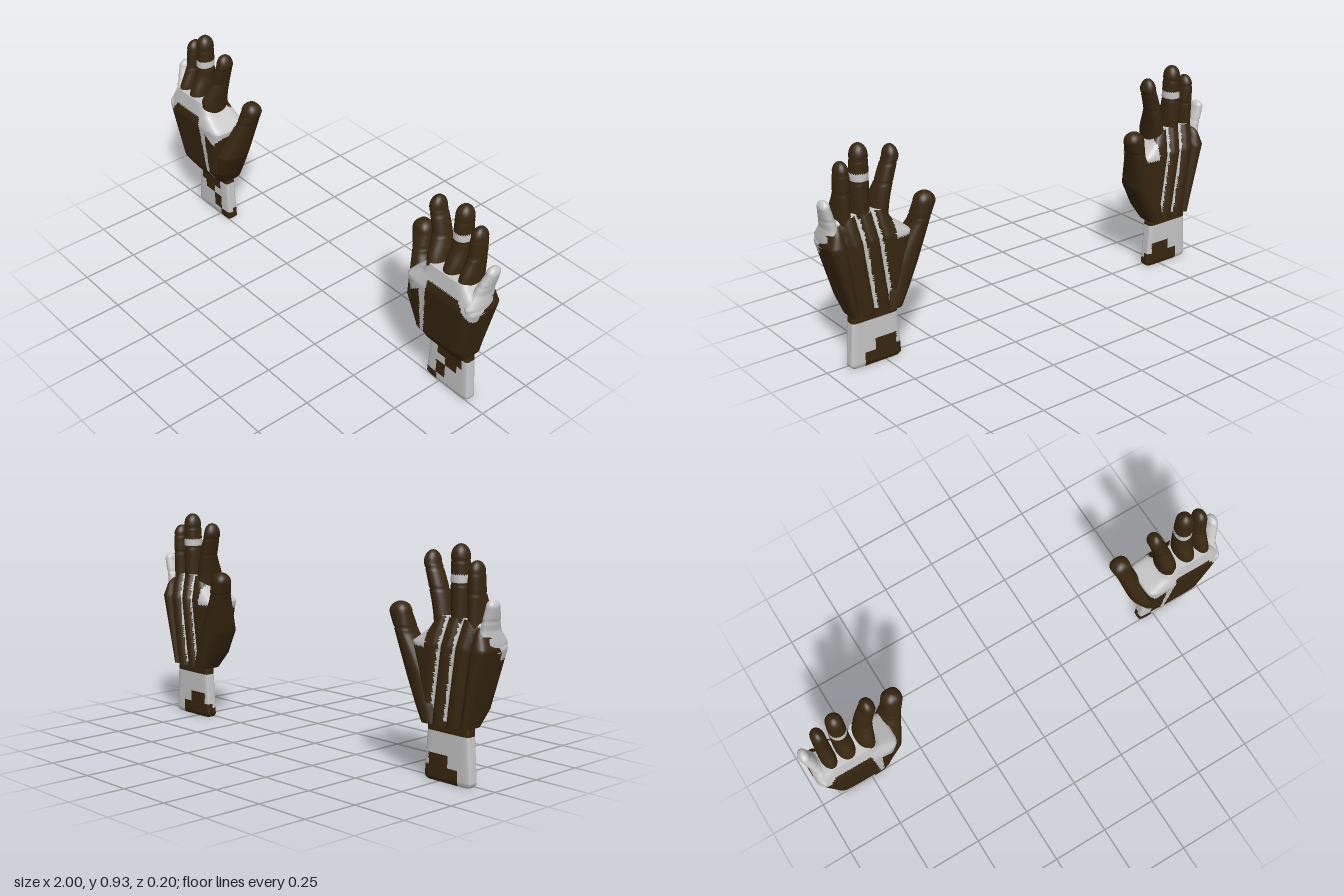
import * as THREE from 'three';

const dark = new THREE.MeshStandardMaterial({ color: 0x38270f });
dark.name = 'dark brown';
const pale = new THREE.MeshStandardMaterial({ color: 0xc8c8c8 });
pale.name = 'pale grey';
const mats = [dark, pale];

const { lerp, smoothstep } = THREE.MathUtils;
const within = (v, a, b) => v > a && v < b;

// Resample [y, xMin, xMax, zMin, zMax] sections at an even height step
function resample(keys, step) {
  const out = [];
  for (let i = 0; i < keys.length - 1; i++) {
    const a = keys[i], b = keys[i + 1];
    const n = Math.max(1, Math.round((b[0] - a[0]) / step));
    for (let k = 0; k < n; k++) out.push(a.map((v, j) => lerp(v, b[j], k / n)));
  }
  out.push(keys[keys.length - 1]);
  return out;
}

// Round off the last section up to a top height
function dome(rows, top) {
  const [y, x0, x1, z0, z1] = rows[rows.length - 1];
  const cx = (x0 + x1) / 2, cz = (z0 + z1) / 2;
  for (let k = 1; k <= 7; k++) {
    const a = (k / 7) * 1.5, c = Math.cos(a);
    rows.push([lerp(y, top, Math.sin(a)), lerp(cx, x0, c), lerp(cx, x1, c), lerp(cz, z0, c), lerp(cz, z1, c)]);
  }
  return rows;
}

// Pinch each joint slightly to leave a seam
const pinch = (rows, joints) => rows.map(([y, x0, x1, z0, z1]) => {
  const d = joints.some(j => Math.abs(y - j) < 0.0036) ? 0.0025 : 0;
  return [y, x0 + d, x1 - d, z0 + d, z1 - d];
});

// Skin stacked squarish outlines; paint(x, y, z) picks the material of each face
function loft(name, rows, { n = 28, power = 2.2, paint = () => 0, shape = p => p, mirror }) {
  const pts = [], faces = [[], []];
  const add = p => pts.push(p) - 1;
  const tri = (a, b, c) => {
    const m = [0, 1, 2].map(k => (pts[a][k] + pts[b][k] + pts[c][k]) / 3);
    faces[paint(...m) ? 1 : 0].push(...(mirror ? [a, c, b] : [a, b, c]));
  };
  const ring = ([y, x0, x1, z0, z1]) => Array.from({ length: n }, (_, j) => {
    const t = (j / n) * Math.PI * 2, c = Math.cos(t), s = Math.sin(t);
    const r = Math.pow(Math.abs(c) ** power + Math.abs(s) ** power, -1 / power);
    return add(shape([(x0 + x1) / 2 + r * c * (x1 - x0) / 2, y, (z0 + z1) / 2 + r * s * (z1 - z0) / 2], r * s));
  });
  const rings = rows.map(ring);
  for (let i = 0; i < rings.length - 1; i++) {
    for (let j = 0; j < n; j++) {
      const k = (j + 1) % n, a = rings[i], b = rings[i + 1];
      tri(a[j], b[j], a[k]);
      tri(a[k], b[j], b[k]);
    }
  }
  // End caps with their own vertices
  for (const end of [0, rows.length - 1]) {
    const r = rows[end], edge = ring(r);
    const mid = add([(r[1] + r[2]) / 2, r[0], (r[3] + r[4]) / 2]);
    for (let j = 0; j < n; j++) {
      const k = (j + 1) % n;
      if (end) tri(mid, edge[k], edge[j]); else tri(mid, edge[j], edge[k]);
    }
  }
  const g = new THREE.BufferGeometry();
  const pos = pts.flatMap(([x, y, z]) => [mirror ? -x : x, y, z]);
  g.setAttribute('position', new THREE.Float32BufferAttribute(pos, 3));
  g.setIndex([...faces[0], ...faces[1]]);
  g.addGroup(0, faces[0].length, 0);
  g.addGroup(faces[0].length, faces[1].length, 1);
  g.computeVertexNormals();
  const mesh = new THREE.Mesh(g, mats);
  mesh.name = name;
  return mesh;
}

// Three grooves between the bones on the back, fanning out from the wrist
const grooveX = (i, y) => lerp(0.725 + 0.072 * i, 0.776 + 0.074 * i, (y - 0.24) / 0.4);

function carveBack(p, v) {
  if (v < -0.5) {
    for (let i = 0; i < 3; i++) p[2] += 0.022 * Math.exp(-(((p[0] - grooveX(i, p[1])) / 0.014) ** 2));
  }
  return p;
}

function paintPalm(x, y, z) {
  if (z < -0.03) {
    if (x < 0.7 && y > 0.53) return 1; // thumb web
    return y > 0.25 && [0, 1].some(i => Math.abs(x - grooveX(i, y)) < 0.009);
  }
  if (x > 0.9 && z < 0.045) return y > 0.53 + (0.045 - z) * 1.3; // outer edge
  if (x > 0.91) return y > 0.58 - (x - 0.91) * 1.25;
  if (y > 0.585) return 1; // knuckle band
  if (x < 0.71 && y > 0.475 + Math.max((x - 0.65) * 0.9, (0.65 - x) * 1.4)) return 1; // arm to the thumb
  const t = (y - 0.25) / 0.33; // long stripe down the palm
  return y > 0.25 && within(x, 0.703, lerp(0.718, 0.742, t));
}

// Blocky dark patches on the cuff
function paintCuff(x, y, z) {
  if (y > 0.2) return 0;
  if (z > -0.02) {
    if (y > 0.15) return !within(x, 0.735, 0.87);
    if (y > 0.11) return !within(x, 0.78, 0.845);
    return y > 0.04 ? !within(x, 0.73, 0.78) : x > 0.735;
  }
  if (y < 0.06) return x > 0.85;
  return y > 0.11 || !within(x, 0.7, 0.8);
}

// Long fingers: flared towards the palm side at the knuckle, leaning to the tip
function longFinger(name, baseX, tipX, halfBase, halfTip, top, joints, paint, mirror) {
  const rows = [], end = top - 0.042;
  for (let y = 0.55; y < end; y += 0.007) {
    const t = (y - 0.55) / (end - 0.55);
    const x = lerp(baseX, tipX, t ** 1.8), h = lerp(halfBase, halfTip, t);
    rows.push([y, x - h, x + h, -0.048, 0.083 - 0.043 * smoothstep(y, 0.64, 0.77) - 0.012 * t * t]);
  }
  return loft(name, pinch(dome(rows, top), joints), { paint, mirror });
}

function buildHand(mirror) {
  const hand = new THREE.Group();
  hand.name = mirror ? 'rightHand' : 'leftHand';

  hand.add(loft('cuff', resample([
    [0, 0.685, 0.9, -0.041, 0],
    [0.012, 0.674, 0.912, -0.047, 0.006],
    [0.25, 0.69, 0.895, -0.047, 0.006],
  ], 0.01), { n: 128, power: 7, paint: paintCuff, mirror }));

  hand.add(loft('palm', resample([
    [0.232, 0.68, 0.9, -0.078, 0.04],
    [0.3, 0.66, 0.918, -0.08, 0.084],
    [0.545, 0.615, 0.985, -0.08, 0.104],
    [0.6, 0.69, 0.965, -0.065, 0.094],
    [0.655, 0.725, 0.92, -0.048, 0.086],
  ], 0.009), { n: 160, power: 6, paint: paintPalm, shape: carveBack, mirror }));

  const plain = () => 0;
  const ringBand = (x, y) => within(y, 0.787, 0.82);
  hand.add(
    longFinger('indexFinger', 0.738, 0.672, 0.043, 0.03, 0.9, [0.75, 0.83], plain, mirror),
    longFinger('middleFinger', 0.819, 0.816, 0.042, 0.035, 0.935, [0.78, 0.875], ringBand, mirror),
    longFinger('ringFinger', 0.897, 0.897, 0.034, 0.029, 0.878, [0.75, 0.83], plain, mirror),
  );

  const little = dome(resample([
    [0.53, 0.92, 0.982, -0.03, 0.095],
    [0.57, 0.925, 0.983, -0.05, 0.1],
    [0.62, 0.927, 0.98, -0.045, 0.06],
    [0.712, 0.957, 1, -0.043, 0.022],
  ], 0.007), 0.74);
  const paintLittle = (x, y, z) => z > -0.02 || y > 0.6;
  hand.add(loft('littleFinger', pinch(little, [0.655]), { paint: paintLittle, mirror }));

  const thumb = dome(resample([
    [0.232, 0.67, 0.75, -0.082, 0.035],
    [0.3, 0.632, 0.74, -0.085, 0.07],
    [0.41, 0.58, 0.71, -0.085, 0.075],
    [0.57, 0.54, 0.615, -0.095, 0.005],
    [0.65, 0.512, 0.598, -0.1, -0.018],
  ], 0.007), 0.692);
  hand.add(loft('thumb', pinch(thumb, [0.595]), { power: 2.6, mirror }));
  return hand;
}

export function createModel() {
  const model = new THREE.Group();
  model.name = 'pairOfGloves';
  model.add(buildHand(false), buildHand(true));
  return model;
}
